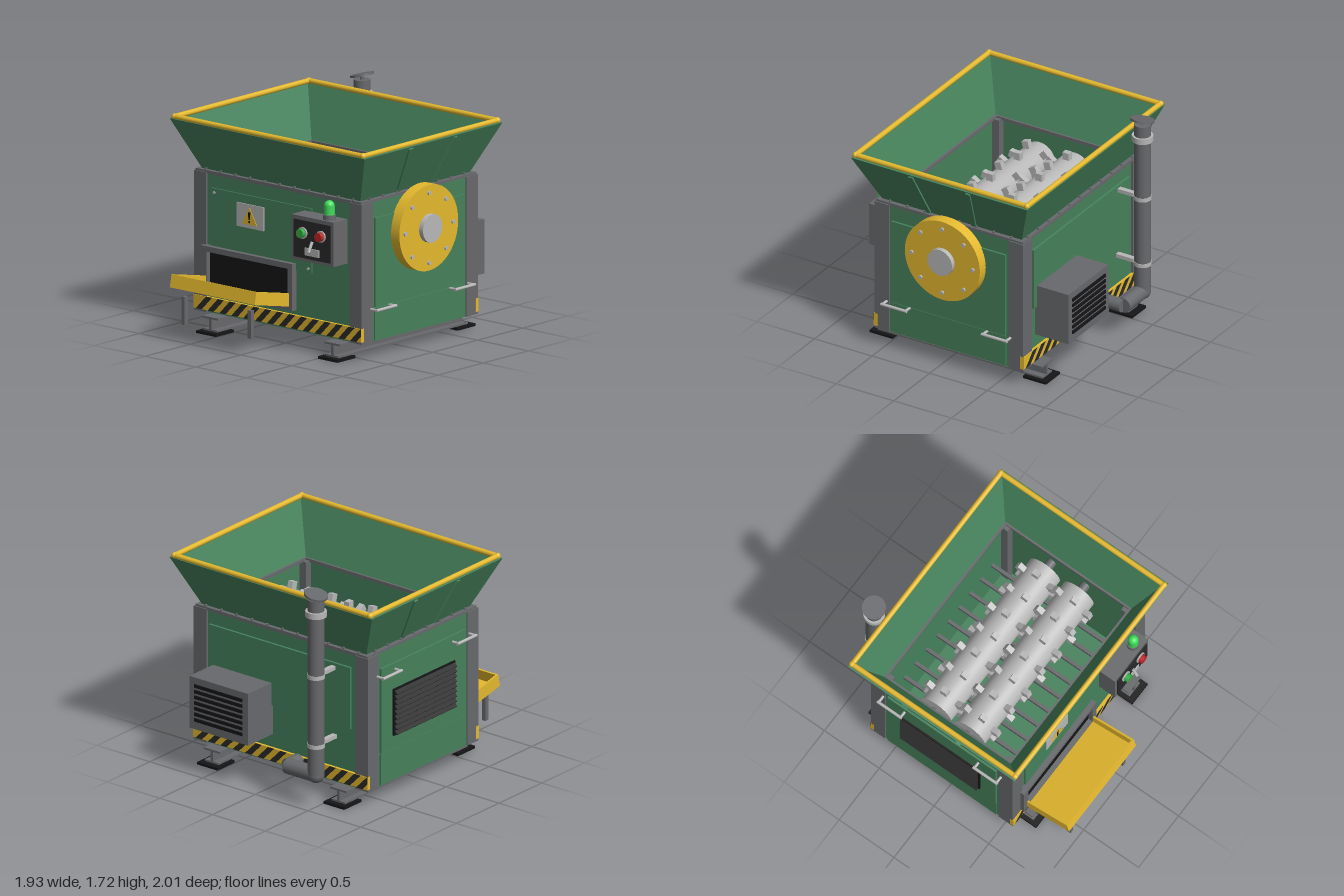
import * as THREE from 'three';

const mat = (color) => new THREE.MeshStandardMaterial({ color });
const green = mat(0x46825c), yellow = mat(0xe4b92e), steel = mat(0x68696c), dark = mat(0x2a2a2c);
const black = mat(0x161618), light = mat(0xb8b8b8), red = mat(0xc02628), lime = mat(0x35b045), glow = mat(0x3fdc5a);
const CZ = -0.056; // middle of the housing in z
const V = (x, y, z) => new THREE.Vector3(x, y, z);

export function createModel() {
  const model = new THREE.Group();
  const add = (name, geo, m, parent = model) => {
    const mesh = new THREE.Mesh(geo, m);
    mesh.name = name;
    parent.add(mesh);
    return mesh;
  };
  // Box from its limits
  const box = (name, m, x0, x1, y0, y1, z0, z1, parent) => {
    const b = add(name, new THREE.BoxGeometry(x1 - x0, y1 - y0, z1 - z0), m, parent);
    b.position.set((x0 + x1) / 2, (y0 + y1) / 2, (z0 + z1) / 2);
    return b;
  };
  // Cylinder between two points
  const rod = (name, m, a, b, r, seg = 24, parent) => {
    const d = b.clone().sub(a);
    const c = add(name, new THREE.CylinderGeometry(r, r, d.length(), seg), m, parent);
    c.position.copy(a).add(b).multiplyScalar(0.5);
    c.quaternion.setFromUnitVectors(V(0, 1, 0), d.normalize());
    return c;
  };
  const ball = (name, m, p, r) => add(name, new THREE.SphereGeometry(r, 20, 14), m).position.copy(p);
  const plate = (name, m, pts, depth, z, hole) => {
    const s = new THREE.Shape(pts.map((p) => new THREE.Vector2(...p)));
    if (hole) s.holes.push(new THREE.Path(hole.map((p) => new THREE.Vector2(...p))));
    const e = add(name, new THREE.ExtrudeGeometry(s, { depth, bevelEnabled: false }), m);
    e.position.z = z;
    return e;
  };
  const rect = (x0, x1, y0, y1) => [[x0, y0], [x1, y0], [x1, y1], [x0, y1]];
  // Closed rectangular ring lofted through [halfX, halfZ, y] sections
  const ring = (name, m, sections) => {
    const pos = [];
    const corner = ([hx, hz, y], k) => [[-hx, y, hz], [hx, y, hz], [hx, y, -hz], [-hx, y, -hz]][k % 4];
    sections.forEach((s, i) => {
      const t = sections[(i + 1) % sections.length];
      for (let k = 0; k < 4; k++) {
        const a = corner(s, k), b = corner(s, k + 1), c = corner(t, k + 1), d = corner(t, k);
        pos.push(...a, ...b, ...c, ...a, ...c, ...d);
      }
    });
    const g = new THREE.BufferGeometry();
    g.setAttribute('position', new THREE.Float32BufferAttribute(pos, 3));
    g.computeVertexNormals();
    add(name, g, m).position.z = CZ;
  };

  // Skids, pads and cross beams
  for (const s of [-1, 1]) {
    const x = s * 0.6;
    box('skidTopFlange', steel, x - 0.077, x + 0.077, 0.112, 0.127, -0.77, 0.662);
    box('skidWeb', steel, x - 0.012, x + 0.012, 0.03, 0.115, -0.77, 0.662);
    box('skidBottomFlange', steel, x - 0.065, x + 0.065, 0.02, 0.034, -0.77, 0.662);
    for (const z of [0.61, -0.72]) box('footPad', black, x - 0.097, x + 0.097, 0, 0.02, z - 0.1, z + 0.1);
  }
  for (const z of [0.355, -0.46]) box('crossBeam', steel, -0.678, 0.678, 0.08, 0.13, z - 0.043, z + 0.043);

  // Housing: floor, walls, corner posts
  box('floor', green, -0.8, 0.8, 0.132, 0.16, CZ - 0.62, CZ + 0.62);
  for (const s of [-1, 1]) {
    box('endWall', green, -0.8, 0.8, 0.135, 1.19, CZ + s * 0.605 - 0.025, CZ + s * 0.605 + 0.025);
    box('sideWall', green, s * 0.79 - 0.025, s * 0.79 + 0.025, 0.135, 1.19, CZ - 0.62, CZ + 0.62);
    box('sideDoor', green, s * 0.82 - 0.012, s * 0.82 + 0.012, 0.395, 1.07, -0.55, 0.44);
    box('lowerSidePanel', green, s * 0.815 - 0.01, s * 0.815 + 0.01, 0.14, 0.388, -0.55, 0.44);
    for (const t of [-1, 1]) {
      const x = s * 0.765, z = CZ + t * 0.582;
      box('cornerPost', steel, x - 0.06, x + 0.06, 0.135, 1.195, z - 0.064, z + 0.064);
    }
    // Door handles: low on one side, high on the other
    const y = s > 0 ? 0.385 : 1.02;
    for (const z of [0.383, -0.49]) {
      rod('handleGrip', light, V(s * 0.885, y, z - 0.112), V(s * 0.885, y, z + 0.112), 0.012, 12);
      for (const e of [-0.1, 0.1]) rod('handleStand', light, V(s * 0.82, y, z + e), V(s * 0.885, y, z + e), 0.011, 12);
    }
  }
  ring('hopperFlange', steel, [[0.815, 0.638, 1.185], [0.815, 0.638, 1.21], [0.738, 0.56, 1.21], [0.738, 0.56, 1.185]]);
  for (const s of [-1, 1]) {
    for (let i = 0; i < 11; i++) rod('flangeBolt', steel, V((i - 5) * 0.145, 1.205, CZ + s * 0.625), V((i - 5) * 0.145, 1.223, CZ + s * 0.625), 0.011, 6);
    for (let i = 0; i < 8; i++) rod('flangeBolt', steel, V(s * 0.797, 1.205, CZ + (i - 3.5) * 0.15), V(s * 0.797, 1.223, CZ + (i - 3.5) * 0.15), 0.011, 6);
  }

  // Hopper with yellow rim and side ribs
  ring('hopper', green, [[0.778, 0.605, 1.205], [0.96, 0.764, 1.585], [0.935, 0.74, 1.59], [0.752, 0.575, 1.205]]);
  for (const s of [-1, 1]) {
    rod('rimRail', yellow, V(-0.928, 1.6, CZ + s * 0.744), V(0.928, 1.6, CZ + s * 0.744), 0.02, 16);
    rod('rimRail', yellow, V(s * 0.928, 1.6, CZ - 0.744), V(s * 0.928, 1.6, CZ + 0.744), 0.02, 16);
    for (const t of [-1, 1]) {
      ball('rimCorner', yellow, V(s * 0.928, 1.6, CZ + t * 0.744), 0.024);
      const rib = box('hopperRib', green, -0.012, 0.012, -0.2, 0.2, -0.02, 0.02);
      rib.position.set(s * 0.87, 1.395, CZ + t * 0.222);
      const up = V(s * 0.178, 0.375, t * 0.055).normalize(), out = V(s * 0.375, -0.178, 0).normalize();
      const side = out.clone().cross(up).normalize();
      rib.quaternion.setFromRotationMatrix(new THREE.Matrix4().makeBasis(up.clone().cross(side), up, side));
    }
  }

  // Twin rotors with cutter teeth, screen bars below
  [-0.214, 0.093].forEach((z, n) => {
    const rotor = new THREE.Group();
    rotor.name = 'rotor';
    rotor.position.set(0, 1.0, z);
    model.add(rotor);
    rod('drum', light, V(-0.68, 0, 0), V(0.68, 0, 0), 0.135, 40, rotor);
    rod('shaft', steel, V(-0.78, 0, 0), V(0.78, 0, 0), 0.038, 20, rotor);
    for (let i = -3; i <= 3; i++) {
      for (let k = 0; k < 6; k++) {
        const a = (k * Math.PI) / 3 + (((i + 3 + n) % 2) * Math.PI) / 12;
        const tooth = add('cutterTooth', new THREE.BoxGeometry(0.045, 0.075, 0.055), light, rotor);
        tooth.position.set(i * 0.19, 0.155 * Math.cos(a), 0.155 * Math.sin(a));
        tooth.rotation.x = a;
      }
    }
  });
  for (let i = -4; i <= 4; i++) box('screenBar', steel, i * 0.136 - 0.013, i * 0.136 + 0.013, 0.78, 0.81, -0.6, 0.476);

  // Access panels, rivets, warning sign
  box('frontPanel', green, -0.66, 0.33, 0.595, 1.085, 0.57, 0.585);
  box('backPanel', green, -0.66, 0.68, 0.595, 1.085, -0.705, -0.68);
  for (const [x, y] of [[-0.63, 1.053], [0.297, 0.626]]) rod('rivet', light, V(x, y, 0.58), V(x, y, 0.592), 0.011, 12);
  box('signPlate', light, -0.405, -0.137, 0.84, 1.02, 0.585, 0.593);
  plate('signTriangle', yellow, [[-0.348, 0.868], [-0.2, 0.868], [-0.274, 0.998]], 0.004, 0.593);
  plate('signBar', black, [[-0.28, 0.905], [-0.268, 0.905], [-0.263, 0.962], [-0.285, 0.962]], 0.003, 0.597);
  rod('signDot', black, V(-0.274, 0.889, 0.595), V(-0.274, 0.889, 0.6), 0.009, 12);

  // Hazard bands on front and back
  for (const s of [1, -1]) {
    const band = new THREE.Group();
    band.name = 'hazardBand';
    band.position.z = CZ;
    band.rotation.y = s > 0 ? 0 : Math.PI;
    model.add(band);
    box('bandPlate', yellow, -0.826, 0.826, 0.152, 0.255, 0.62, 0.652, band);
    for (let i = 0; i < 14; i++) {
      const x = -0.8 + i * 0.117, t = 0.1;
      const pts = i < 13 ? [[x, 0.152], [x + 0.058, 0.152], [x + 0.058 + t, 0.255], [x + t, 0.255]]
        : [[x, 0.152], [x + 0.058, 0.152], [0.826, 0.2], [0.826, 0.255], [x + t, 0.255]];
      band.add(plate('stripe', dark, pts, 0.003, 0.652));
    }
  }

  // Discharge opening, tray and its legs
  plate('dischargeFrame', steel, rect(-0.73, 0.173, 0.29, 0.647), 0.055, 0.57, rect(-0.673, 0.126, 0.335, 0.605));
  box('dischargeOpening', black, -0.68, 0.13, 0.33, 0.61, 0.565, 0.585);
  const tray = new THREE.Group();
  tray.name = 'tray';
  tray.position.set(-0.275, 0.322, 0.628);
  tray.rotation.x = -0.207;
  model.add(tray);
  box('trayFloor', yellow, -0.417, 0.417, 0, 0.012, 0, 0.388, tray);
  for (const s of [-1, 1]) box('traySide', yellow, s * 0.41 - 0.008, s * 0.41 + 0.008, 0, 0.098, 0, 0.388, tray);
  box('trayLip', yellow, -0.417, 0.417, 0, 0.098, 0.374, 0.388, tray);
  for (const x of [-0.6, 0.052]) box('trayLeg', steel, x - 0.016, x + 0.016, 0.125, 0.337, 0.93, 0.965);

  // Control cabinet with buttons, lever and beacon
  box('controlCabinet', steel, 0.26, 0.673, 0.725, 1.062, 0.565, 0.73);
  box('controlFace', dark, 0.286, 0.647, 0.748, 1.033, 0.725, 0.737);
  for (const [x, m] of [[0.379, lime], [0.56, red]]) {
    rod('buttonRing', light, V(x, 0.94, 0.735), V(x, 0.94, 0.748), 0.044);
    rod('button', m, V(x, 0.94, 0.74), V(x, 0.94, 0.778), 0.034);
  }
  box('leverPlate', light, 0.4, 0.54, 0.775, 0.832, 0.735, 0.745);
  rod('lever', light, V(0.47, 0.885, 0.738), V(0.47, 0.81, 0.778), 0.012, 12);
  rod('beaconBase', steel, V(0.575, 1.06, 0.665), V(0.575, 1.098, 0.665), 0.048);
  rod('beaconLens', glow, V(0.575, 1.095, 0.665), V(0.575, 1.165, 0.665), 0.04);
  ball('beaconDome', glow, V(0.575, 1.165, 0.665), 0.04);

  // Drive wheel cover
  rod('wheelCover', yellow, V(0.825, 0.92, CZ), V(0.914, 0.92, CZ), 0.326, 56);
  rod('wheelHub', light, V(0.9, 0.92, CZ), V(0.952, 0.92, CZ), 0.107, 36);
  for (let k = 0; k < 8; k++) {
    const a = (k * Math.PI) / 4, y = 0.92 + 0.265 * Math.sin(a), z = CZ + 0.265 * Math.cos(a);
    rod('wheelBolt', light, V(0.91, y, z), V(0.928, y, z), 0.016, 12);
  }

  // Louvred vent on the left-hand door
  box('ventPlate', black, -0.845, -0.825, 0.5, 0.87, -0.42, 0.3);
  for (let i = 0; i < 9; i++) {
    const slat = box('ventSlat', dark, -0.02, 0.02, -0.004, 0.004, -0.35, 0.35);
    slat.position.set(-0.853, 0.525 + i * 0.04, -0.06);
    slat.rotation.z = 0.75;
  }

  // Rear motor housing with slots
  box('motorHousing', steel, 0.085, 0.64, 0.36, 0.772, -0.98, -0.69);
  for (let i = 0; i < 7; i++) box('motorSlot', black, 0.135, 0.59, 0.425 + i * 0.045, 0.45 + i * 0.045, -0.99, -0.97);

  // Exhaust pipe with collars, brackets, elbow and rain cap
  const px = -0.503, pz = -0.91;
  rod('exhaustPipe', steel, V(px, 0.262, pz), V(px, 1.66, pz), 0.063, 28);
  ball('pipeElbow', steel, V(px, 0.262, pz), 0.064);
  rod('lowerPipe', steel, V(px, 0.262, pz), V(-0.232, 0.262, pz), 0.06, 28);
  rod('pipeInlet', steel, V(-0.228, 0.262, pz), V(-0.228, 0.262, -0.78), 0.052, 28);
  rod('pipeCollar', light, V(px, 1.525, pz), V(px, 1.57, pz), 0.08, 28);
  for (const y of [1.05, 0.5]) {
    rod('pipeStrap', light, V(px, y - 0.015, pz), V(px, y + 0.015, pz), 0.068, 28);
    box('pipeBracket', light, px - 0.02, px + 0.02, y - 0.015, y + 0.015, pz, -0.69);
  }
  rod('capStem', steel, V(px, 1.64, pz), V(px, 1.69, pz), 0.015, 10);
  rod('rainCap', steel, V(px + 0.002, 1.686, pz), V(px - 0.002, 1.702, pz), 0.09, 32);

  return model;
}
